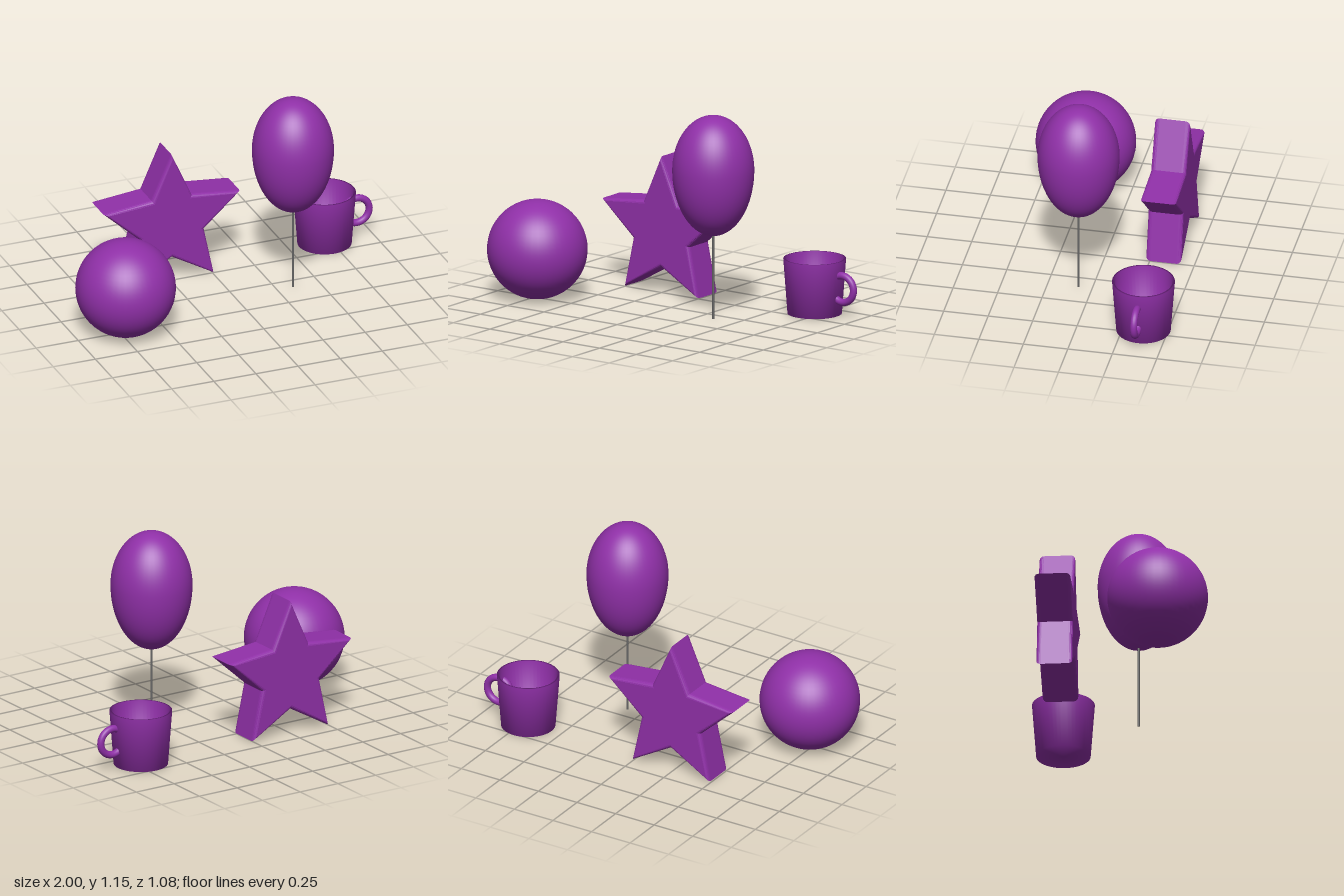
import * as THREE from 'three';

const purple = new THREE.MeshStandardMaterial({ color: 0x9030a8 });
purple.name = 'purple';
const grey = new THREE.MeshStandardMaterial({ color: 0x666666 });
grey.name = 'grey';

function part(name, geometry, material, x, y, z) {
  const mesh = new THREE.Mesh(geometry, material);
  mesh.name = name;
  mesh.position.set(x, y, z);
  return mesh;
}

// Five-pointed outline centred on the origin, one point up
function starShape(outer, inner) {
  const points = [];
  for (let i = 0; i < 10; i++) {
    const r = i % 2 ? inner : outer;
    const a = Math.PI / 2 + (i * Math.PI) / 5;
    points.push(new THREE.Vector2(r * Math.cos(a), r * Math.sin(a)));
  }
  return new THREE.Shape(points);
}

// Egg profile: a longer lower half below the widest ring
function eggProfile(radius, below, above) {
  const points = [];
  for (let i = 0; i <= 40; i++) {
    const a = -Math.PI / 2 + (i * Math.PI) / 40;
    const h = Math.sin(a) * (a < 0 ? below : above);
    points.push(new THREE.Vector2(Math.max(0, radius * Math.cos(a)), h));
  }
  return points;
}

export function createModel() {
  const model = new THREE.Group();
  model.name = 'toySet';

  // Ball
  model.add(part('ball', new THREE.SphereGeometry(0.277, 48, 32), purple, -0.723, 0.282, 0.26));

  // Star with rounded front and back edges
  const depth = 0.147;
  const starGeometry = new THREE.ExtrudeGeometry(starShape(0.397, 0.178), {
    depth, bevelEnabled: true, bevelSize: 0.02, bevelThickness: 0.025, bevelSegments: 4,
  });
  starGeometry.translate(0, 0, -depth / 2);
  model.add(part('star', starGeometry, purple, -0.245, 0.352, -0.328));

  // Balloon on its string
  const balloon = new THREE.Group();
  balloon.name = 'balloon';
  balloon.position.set(0.345, 0, 0.077);
  balloon.add(part('balloonBody', new THREE.LatheGeometry(eggProfile(0.226, 0.37, 0.308), 48), purple, 0, 0.846, 0));
  balloon.add(part('balloonString', new THREE.CylinderGeometry(0.006, 0.006, 0.48, 12), grey, 0, 0.244, 0));
  model.add(balloon);

  // Mug: tapered hollow cup with a ring handle
  const mug = new THREE.Group();
  mug.name = 'mug';
  mug.position.set(0.712, 0.005, -0.365);
  const cupProfile = [[0, 0], [0.15, 0], [0.173, 0.31], [0.161, 0.31], [0.139, 0.014], [0, 0.014]]
    .map(([r, y]) => new THREE.Vector2(r, y));
  mug.add(part('mugCup', new THREE.LatheGeometry(cupProfile, 48), purple, 0, 0, 0));
  mug.add(part('mugHandle', new THREE.TorusGeometry(0.075, 0.02, 16, 40), purple, 0.19, 0.162, 0));
  model.add(mug);

  return model;
}
